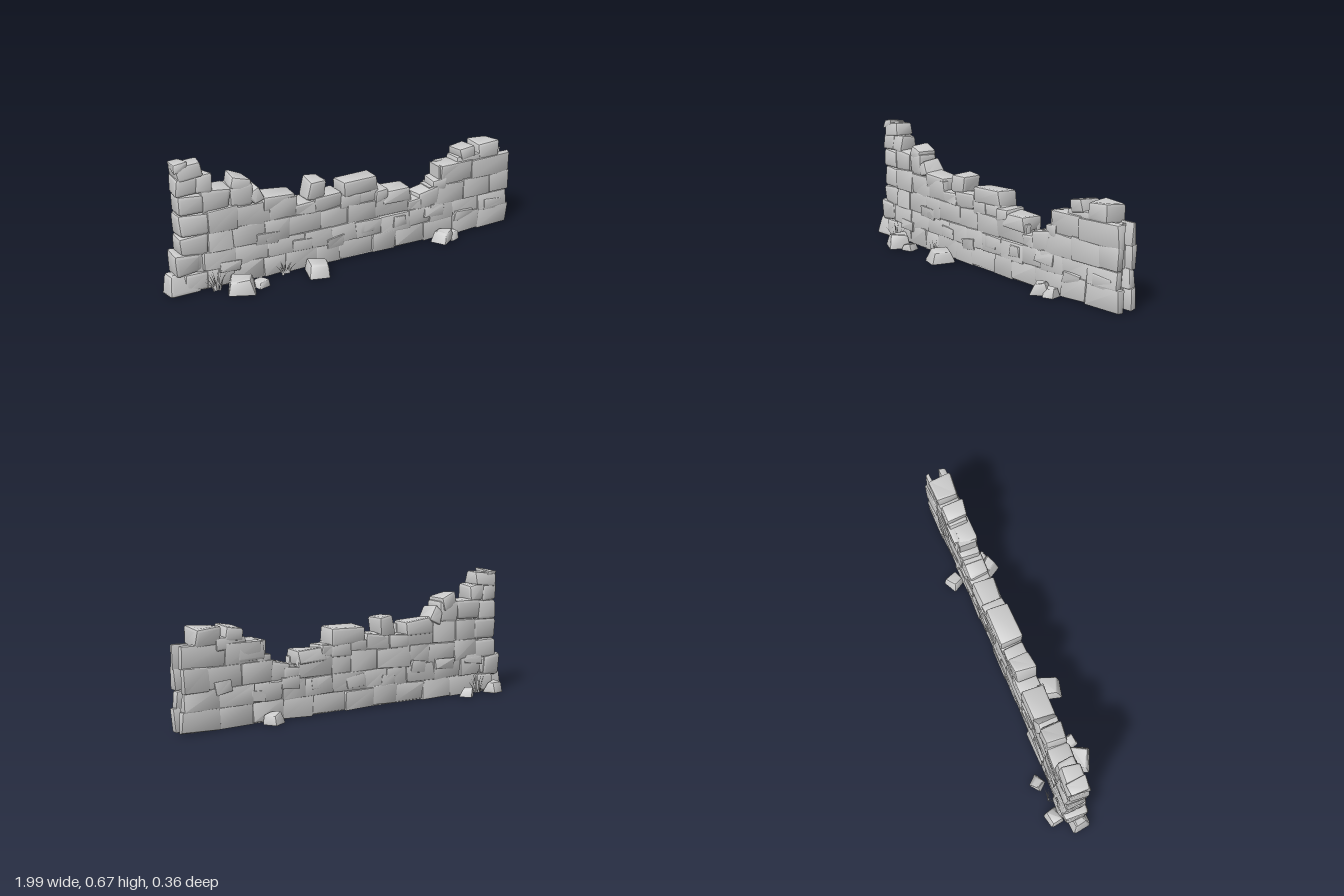
import * as THREE from 'three';
import { RoundedBoxGeometry } from 'three/addons/geometries/RoundedBoxGeometry.js';
import { mergeVertices, toCreasedNormals } from 'three/addons/utils/BufferGeometryUtils.js';

const stoneMat = new THREE.MeshStandardMaterial({ color: 0xcccccc });
const grassMat = new THREE.MeshStandardMaterial({ color: 0xcccccc, side: THREE.DoubleSide });

let seed = 11;
const rnd = () => {
  seed = (seed * 1664525 + 1013904223) % 4294967296;
  return seed / 4294967296;
};
const jit = (a) => (rnd() * 2 - 1) * a;

// The wall bows gently towards the front
const bow = (x) => -0.036 - 0.022 * x * x;
const HALF = 0.057;

// Chamfered block whose eight corners are pulled about at random
function stoneGeometry(w, h, d, rough, taper = 0) {
  let g = new RoundedBoxGeometry(w, h, d, 1, Math.min(w, h, d) * 0.16);
  g.deleteAttribute('normal');
  g.deleteAttribute('uv');
  g = mergeVertices(g, 1e-5);
  const corners = Array.from({ length: 8 }, () => [jit(rough), jit(rough), jit(rough)]);
  const p = g.attributes.position;
  for (let i = 0; i < p.count; i++) {
    const v = [p.getX(i), p.getY(i), p.getZ(i)];
    const u = [v[0] / w + 0.5, v[1] / h + 0.5, v[2] / d + 0.5];
    const shrink = 1 - taper * u[1];
    v[0] *= shrink;
    v[2] *= shrink;
    corners.forEach((c, k) => {
      const f = (k & 1 ? u[0] : 1 - u[0]) * (k & 2 ? u[1] : 1 - u[1]) * (k & 4 ? u[2] : 1 - u[2]);
      for (let a = 0; a < 3; a++) v[a] += c[a] * f;
    });
    p.setXYZ(i, ...v);
  }
  return g;
}

function bend(g) {
  const p = g.attributes.position;
  for (let i = 0; i < p.count; i++) p.setZ(i, p.getZ(i) + bow(p.getX(i)));
  return g;
}

function addMesh(parent, g, name, mat = stoneMat) {
  const m = new THREE.Mesh(g, mat);
  m.name = name;
  parent.add(m);
}

// Block filling x0..x1, y0..y1 and z0..z1 of the wall, with an optional tilt
function addBlock(parent, name, x0, x1, y0, y1, z0, z1, tilt = 0, rough = 0.007) {
  const g = stoneGeometry(x1 - x0 + 0.006, y1 - y0 + 0.006, z1 - z0, rough);
  g.rotateZ(tilt);
  g.translate((x0 + x1) / 2, (y0 + y1) / 2, (z0 + z1) / 2);
  addMesh(parent, toCreasedNormals(bend(g), 0.5), name);
}

// One face of a course, split into stones of varying width
function addFace(parent, name, x0, x1, y0, y1, z0, z1) {
  let x = x0;
  while (x < x1 - 0.01) {
    let next = x + 0.12 + rnd() * 0.09;
    if (x1 - next < 0.08) next = x1;
    const out = jit(0.004);
    addBlock(parent, name, x, next, y0, y1 + jit(0.003), z0 + out, z1 + out);
    x = next;
  }
}

// Fallen rock resting on the ground
function addRock(parent, x, z, w, h, d, turn) {
  const g = stoneGeometry(w, h, d, Math.min(w, h, d) * 0.17, 0.3);
  g.rotateY(turn);
  g.translate(x, h / 2, z);
  const p = g.attributes.position;
  for (let i = 0; i < p.count; i++) p.setY(i, Math.max(0.004, p.getY(i)));
  addMesh(parent, toCreasedNormals(g, 0.5), 'fallenRock');
}

// Fan of thin curved blades
function addGrass(parent, x, z, height, count, spread) {
  const tuft = new THREE.Group();
  tuft.name = 'grassTuft';
  for (let i = 0; i < count; i++) {
    const t = (i / (count - 1)) * 2 - 1;
    const h = height * (1 - 0.35 * Math.abs(t) + jit(0.1));
    const g = new THREE.PlaneGeometry(0.009, h, 1, 4);
    g.translate(0, h / 2, 0);
    const p = g.attributes.position;
    for (let k = 0; k < p.count; k++) {
      const u = p.getY(k) / h;
      p.setX(k, p.getX(k) * (1 - u * 0.95) + t * spread * (0.25 * u + 0.75 * u * u));
      p.setZ(k, 0.012 * u * u * (i % 2 ? 1 : -1));
    }
    g.rotateY(jit(0.5));
    g.translate(x + t * 0.018, 0.01, z + jit(0.008));
    g.computeVertexNormals();
    addMesh(tuft, g, 'grassBlade', grassMat);
  }
  parent.add(tuft);
}

export function createModel() {
  seed = 11;
  const model = new THREE.Group();
  model.name = 'ruinedStoneWall';
  const wall = new THREE.Group();
  wall.name = 'wall';
  const caps = new THREE.Group();
  caps.name = 'brokenTop';
  const rubble = new THREE.Group();
  rubble.name = 'rubble';
  model.add(wall, caps, rubble);

  // Courses: x0, x1, y0, y1. Those reaching the right end show a hollow there
  const courses = [
    [-0.9, 0.985, 0.012, 0.11],
    [-0.93, 0.975, 0.11, 0.2],
    [-0.92, 0.35, 0.2, 0.3],
    [0.5, 0.98, 0.2, 0.305],
    [-0.915, -0.32, 0.3, 0.41],
    [0.56, 0.985, 0.305, 0.41],
  ];
  for (const [x0, x1, y0, y1] of courses) {
    const left = x0 < -0.85, right = x1 > 0.9;
    const start = left ? x0 + 0.1 + rnd() * 0.05 : x0;
    if (left) addBlock(wall, 'endStone', x0, start, y0, y1, -HALF, HALF, 0, 0.009);
    addFace(wall, 'frontStone', start, x1, y0, y1, 0.022, HALF);
    addFace(wall, 'backStone', start, x1 - 0.004, y0, y1, -HALF, -0.026);
    const c0 = start - 0.03, c1 = right ? x1 - 0.04 - rnd() * 0.02 : x1 - 0.02;
    const core = new THREE.BoxGeometry(c1 - c0, y1 - y0, 0.092, 12, 1, 1);
    core.translate((c0 + c1) / 2, (y0 + y1) / 2 - 0.004, 0);
    bend(core).computeVertexNormals();
    addMesh(wall, core, 'core');
  }

  // Full-depth stones along the broken top: x0, x1, y0, y1, tilt
  const top = [
    [-0.92, -0.8, 0.41, 0.505, 0], [-0.8, -0.66, 0.41, 0.515, 0], [-0.66, -0.54, 0.41, 0.515, 0],
    [-0.925, -0.83, 0.505, 0.59, 0], [-0.84, -0.75, 0.505, 0.595, -0.08],
    [-0.915, -0.795, 0.585, 0.652, 0.03], [-0.925, -0.865, 0.63, 0.668, 0],
    [-0.65, -0.555, 0.485, 0.55, -0.3], [-0.555, -0.49, 0.41, 0.485, 0.45],
    [-0.49, -0.32, 0.36, 0.432, -0.02], [-0.33, -0.2, 0.29, 0.362, 0],
    [-0.24, -0.16, 0.36, 0.462, -0.15], [-0.21, -0.06, 0.295, 0.375, 0.08],
    [-0.07, 0.04, 0.29, 0.36, 0], [0.03, 0.15, 0.29, 0.36, 0],
    [-0.05, 0.145, 0.345, 0.422, 0], [0.14, 0.21, 0.29, 0.345, 0],
    [0.19, 0.345, 0.265, 0.333, -0.03], [0.33, 0.42, 0.19, 0.258, 0.06],
    [0.4, 0.53, 0.195, 0.292, 0.08], [0.5, 0.575, 0.27, 0.335, 0],
    [0.54, 0.69, 0.32, 0.405, 0], [0.64, 0.8, 0.385, 0.43, 0],
    [0.665, 0.755, 0.42, 0.478, 0.15], [0.785, 0.91, 0.405, 0.49, 0],
  ];
  for (const [x0, x1, y0, y1, tilt] of top) {
    const half = HALF - (y1 > 0.55 ? 0.006 : 0.001);
    addBlock(caps, 'capStone', x0, x1, y0, y1, -half, half, tilt, 0.01);
  }

  // Thin chips standing proud of both faces
  for (let i = 0; i < 18; i++) {
    const x = -0.82 + i * 0.097, y = 0.07 + rnd() * 0.12, s = i % 2 ? 1 : -1;
    const z = s * (HALF - 0.002);
    addBlock(wall, 'faceChip', x, x + 0.07 + rnd() * 0.05, y, y + 0.05, z - 0.008, z + 0.008, jit(0.12), 0.006);
  }

  // Corner stones at the left foot
  addBlock(wall, 'cornerStone', -0.95, -0.83, 0.1, 0.205, -HALF, HALF, 0.05, 0.012);

  // Rocks: x, z, width, height, depth, turn
  const rocks = [
    [-0.905, -0.045, 0.18, 0.108, 0.12, 0.08],
    [-0.65, 0.085, 0.13, 0.075, 0.12, -0.4], [-0.55, 0.085, 0.07, 0.04, 0.08, 0.3],
    [-0.24, 0.105, 0.13, 0.07, 0.13, -0.35],
    [0.53, 0.06, 0.09, 0.065, 0.1, 0.6], [0.59, 0.05, 0.07, 0.045, 0.07, 0.2],
    [-0.88, -0.145, 0.09, 0.065, 0.08, 0.3], [-0.69, -0.15, 0.07, 0.05, 0.07, 0.7],
    [0.52, -0.137, 0.08, 0.06, 0.08, 0.5],
  ];
  rocks.forEach((r) => addRock(rubble, ...r));

  addGrass(model, -0.76, 0.04, 0.115, 11, 0.055);
  addGrass(model, -0.39, 0.038, 0.08, 8, 0.035);
  addGrass(model, -0.78, -0.13, 0.115, 11, 0.055);
  return model;
}
